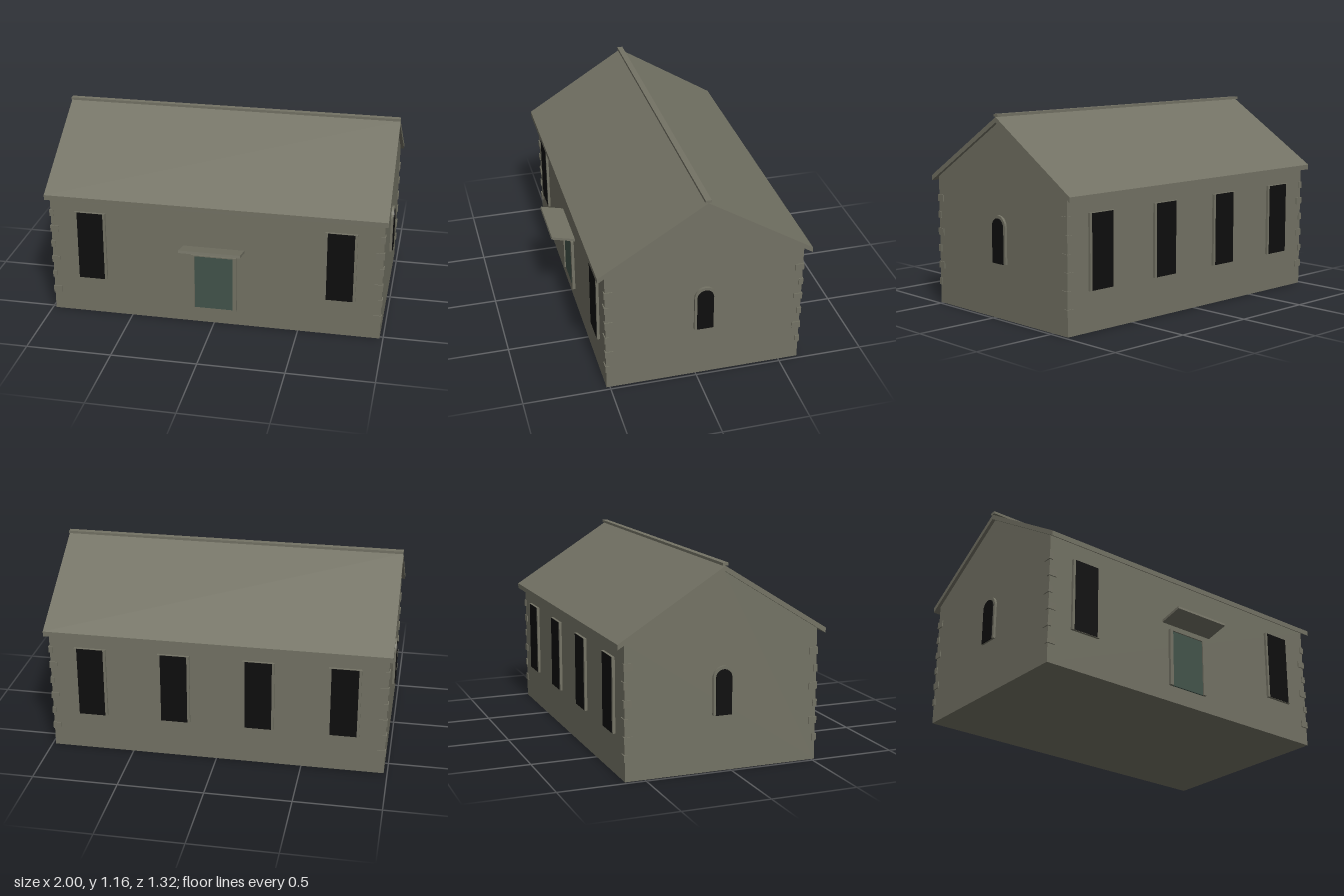
import * as THREE from 'three';

const stone = new THREE.MeshStandardMaterial({ color: 0x737264 });
stone.name = 'stone';
const black = new THREE.MeshStandardMaterial({ color: 0x0e0e0e });
black.name = 'dark glass';
const green = new THREE.MeshStandardMaterial({ color: 0x43544b });
green.name = 'door green';

const HALF_X = 0.98, HALF_Z = 0.567, APEX = 1.11, SLOPE = 0.623;
const roofY = (z) => APEX - SLOPE * Math.abs(z); // underside of the roof

function add(parent, name, geometry, material, x = 0, y = 0, z = 0) {
  const mesh = new THREE.Mesh(geometry, material);
  mesh.name = name;
  mesh.position.set(x, y, z);
  parent.add(mesh);
  return mesh;
}
const box = (w, h, d) => new THREE.BoxGeometry(w, h, d);

// Extrudes a gable-end outline along x, centred
function alongX(points, length) {
  const shape = new THREE.Shape(points.map(([a, b]) => new THREE.Vector2(a, b)));
  const g = new THREE.ExtrudeGeometry(shape, { depth: length, bevelEnabled: false });
  return g.translate(0, 0, -length / 2).rotateY(Math.PI / 2);
}

// Round-headed slab facing +z, base at y = 0
function archSlab(halfWidth, height, depth) {
  const shape = new THREE.Shape();
  shape.moveTo(-halfWidth, 0);
  shape.lineTo(halfWidth, 0);
  shape.lineTo(halfWidth, height - halfWidth);
  shape.absarc(0, height - halfWidth, halfWidth, 0, Math.PI, false);
  shape.closePath();
  return new THREE.ExtrudeGeometry(shape, { depth, bevelEnabled: false, curveSegments: 10 });
}

// Tall window on the plane z = 0, facing +z
function tallWindow(name) {
  const g = new THREE.Group();
  g.name = name;
  add(g, 'windowFrame', box(0.185, 0.425, 0.022), stone, 0, 0.442, 0.004);
  add(g, 'windowPane', box(0.155, 0.422, 0.008), black, 0, 0.442, 0.0128);
  return g;
}

export function createModel() {
  const model = new THREE.Group();
  model.name = 'stoneHouse';
  const house = new THREE.Group();
  house.name = 'house';
  house.position.z = -0.047;
  model.add(house);

  // Walls with gables
  const eaveY = roofY(HALF_Z);
  add(house, 'walls', alongX([
    [-HALF_Z, 0], [HALF_Z, 0], [HALF_Z, eaveY], [0, APEX], [-HALF_Z, eaveY],
  ], HALF_X * 2), stone);

  // Roof slabs and ridge cap
  const eave = 0.61, t = 0.03;
  add(house, 'roof', alongX([
    [-eave, roofY(eave)], [0, APEX], [eave, roofY(eave)],
    [eave, roofY(eave) + t], [0, APEX + t], [-eave, roofY(eave) + t],
  ], 2), stone);
  add(house, 'ridgeCap', box(2, 0.015, 0.034), stone, 0, 1.149, 0);

  // Corner stones, alternately long on each face
  for (const sx of [-1, 1]) for (const sz of [-1, 1]) {
    for (let i = 0; i < 6; i++) {
      const w = i % 2 ? 0.025 : 0.05, d = i % 2 ? 0.05 : 0.025, out = 0.006;
      add(house, 'cornerStone', box(w, 0.04, d), stone,
        sx * (HALF_X + out - w / 2), 0.13 + i * 0.1, sz * (HALF_Z + out - d / 2));
    }
  }

  // Two windows in front, four at the back
  for (const x of [-0.738, 0.738]) {
    const w = tallWindow('frontWindow');
    w.position.set(x, 0, HALF_Z);
    house.add(w);
  }
  for (const x of [-0.738, -0.246, 0.246, 0.738]) {
    const w = tallWindow('backWindow');
    w.position.set(x, 0, -HALF_Z);
    w.rotation.y = Math.PI;
    house.add(w);
  }

  // Arched gable windows
  for (const s of [-1, 1]) {
    const w = new THREE.Group();
    w.name = 'gableWindow';
    add(w, 'archFrame', archSlab(0.062, 0.272, 0.016), stone, 0, 0.32, -0.002);
    add(w, 'archPane', archSlab(0.047, 0.256, 0.007), black, 0, 0.319, 0.012);
    w.position.x = s * HALF_X;
    w.rotation.y = s * Math.PI / 2;
    house.add(w);
  }

  // Door with side posts, lintel and tilted canopy
  const door = new THREE.Group();
  door.name = 'entrance';
  door.position.z = HALF_Z;
  house.add(door);
  add(door, 'door', box(0.23, 0.34, 0.016), green, 0, 0.268, 0.001);
  for (const s of [-1, 1]) add(door, 'doorPost', box(0.022, 0.344, 0.026), stone, s * 0.125, 0.27, 0.004);
  add(door, 'doorLintel', box(0.23, 0.006, 0.026), stone, 0, 0.439, 0.004);
  const canopy = add(door, 'canopy', box(0.36, 0.015, 0.145), stone, 0, 0.501, 0.069);
  canopy.rotation.x = -0.245;

  return model;
}
